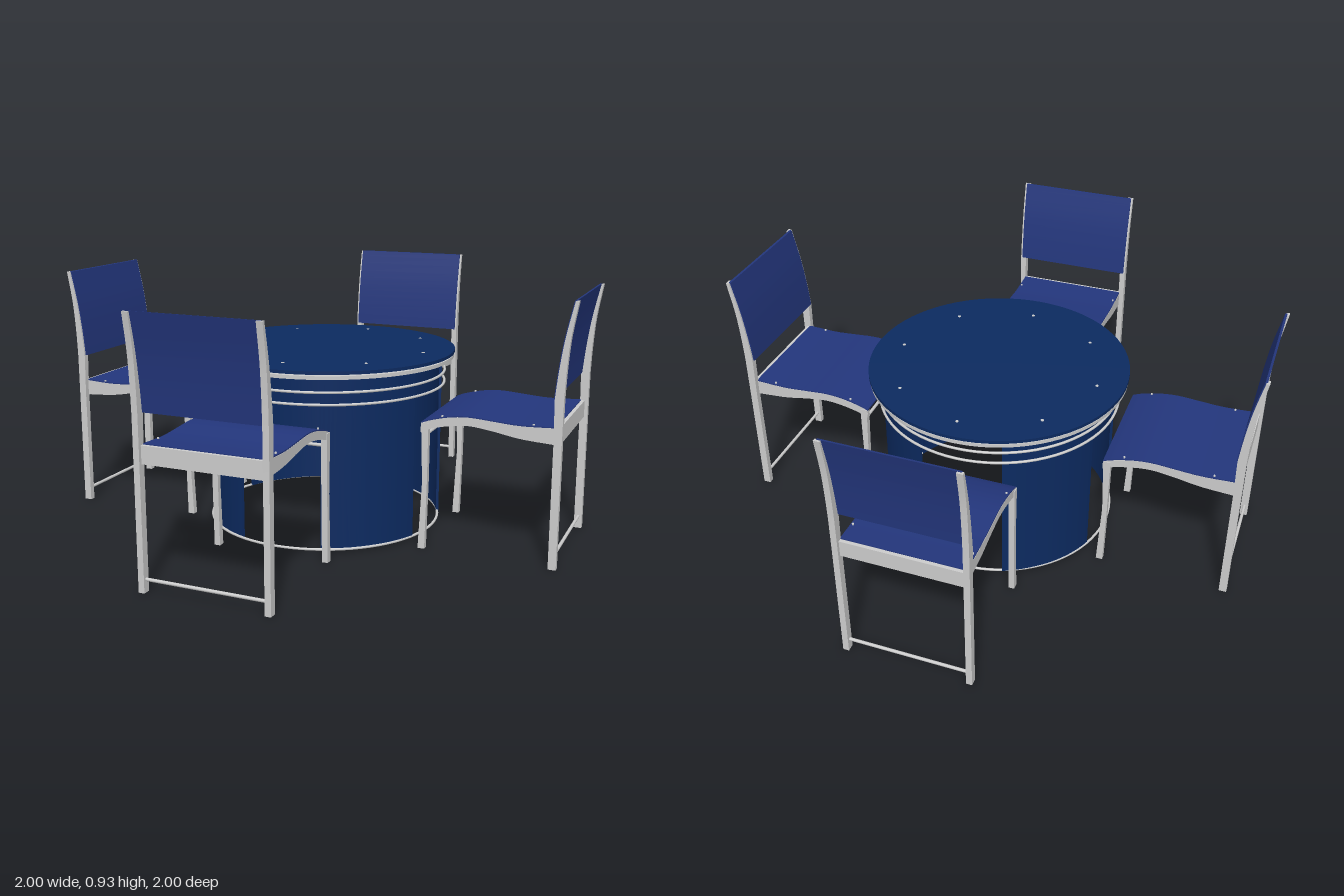
import * as THREE from 'three';
import { toCreasedNormals } from 'three/addons/utils/BufferGeometryUtils.js';

const metal = new THREE.MeshStandardMaterial({ color: 0xcccccc });
const tableBlue = new THREE.MeshStandardMaterial({ color: 0x0c2a60 });
const fabricBlue = new THREE.MeshStandardMaterial({ color: 0x23367c });

function add(parent, name, geometry, material, x = 0, y = 0, z = 0) {
  const mesh = new THREE.Mesh(geometry, material);
  mesh.name = name;
  mesh.position.set(x, y, z);
  parent.add(mesh);
  return mesh;
}

const spline = (pts, n = 20) =>
  new THREE.SplineCurve(pts.map(p => new THREE.Vector2(...p))).getPoints(n);

// Extrudes the strip between two (z, y) edges across x, centred on x = 0
function strip(edgeA, edgeB, width) {
  const shape = new THREE.Shape([...edgeA, ...[...edgeB].reverse()]);
  const g = new THREE.ExtrudeGeometry(shape, { depth: width, bevelEnabled: false });
  g.translate(0, 0, -width / 2);
  g.rotateY(-Math.PI / 2);
  return toCreasedNormals(g, 0.5);
}

// Horizontal extrusion of a flat shape, from y = 0 up to the given height
function slab(shape, height) {
  const g = new THREE.ExtrudeGeometry(shape, { depth: height, bevelEnabled: false, curveSegments: 48 });
  g.rotateX(-Math.PI / 2);
  return toCreasedNormals(g, 0.5);
}

const shifted = (pts, dz, dy) => pts.map(p => new THREE.Vector2(p.x + dz, p.y + dy));

// Chair whose back is at +z
function createChair() {
  const chair = new THREE.Group();
  chair.name = 'chair';

  const seatTop = spline([[0.465, 0.468], [0.5, 0.482], [0.57, 0.499], [0.64, 0.505], [0.72, 0.5], [0.82, 0.494], [0.94, 0.499]]);
  const railBottom = spline([[0.465, 0.435], [0.5, 0.451], [0.57, 0.468], [0.64, 0.475], [0.72, 0.466], [0.82, 0.449], [0.94, 0.441]]);
  const postFront = spline([[0.934, 0.6], [0.944, 0.7], [0.96, 0.81], [0.986, 0.93]], 12);
  const postRear = spline([[0.965, 0.6], [0.969, 0.7], [0.978, 0.81], [0.998, 0.93]], 12);
  const corner = (z, y) => new THREE.Vector2(z, y);

  // Side frames, mirrored left and right
  for (const s of [-1, 1]) {
    const rail = add(chair, 'sideRail', strip(railBottom, seatTop, 0.016), metal, s * 0.213);
    rail.position.y = -0.003;
    add(chair, 'frontLeg', strip(
      [corner(0.463, 0), corner(0.475, 0.25), corner(0.467, 0.468)],
      [corner(0.488, 0), corner(0.493, 0.25), corner(0.494, 0.468)], 0.022), metal, s * 0.213);
    add(chair, 'rearPost', strip(
      [corner(0.938, 0), corner(0.937, 0.45), ...postFront],
      [corner(0.966, 0), corner(0.965, 0.45), ...postRear], 0.022), metal, s * 0.229);
    for (const [z, y] of [[0.54, 0.496], [0.862, 0.498]])
      add(chair, 'seatScrew', new THREE.CylinderGeometry(0.004, 0.004, 0.006, 8), metal, s * 0.211, y, z);
  }

  // Fabric seat and backrest
  add(chair, 'seat', strip(shifted(seatTop, 0, -0.005), shifted(seatTop, 0, 0.001), 0.44), fabricBlue);
  add(chair, 'backrest', strip(shifted(postFront, -0.004, 0), shifted(postFront, 0.004, 0.001), 0.466), fabricBlue);

  // Cross members
  add(chair, 'rearRail', new THREE.BoxGeometry(0.44, 0.062, 0.014), metal, 0, 0.466, 0.946);
  for (const [name, y, z] of [['frontBar', 0.422, 0.48], ['rearBar', 0.045, 0.952]]) {
    const bar = add(chair, name, new THREE.CylinderGeometry(0.006, 0.006, 0.44, 10), metal, 0, y, z);
    bar.rotation.z = Math.PI / 2;
  }
  return chair;
}

function createTable() {
  const table = new THREE.Group();
  table.name = 'table';
  const topZ = -0.025;

  // Top disc over a flat metal ring
  add(table, 'tableTop', new THREE.CylinderGeometry(0.487, 0.487, 0.012, 72), tableBlue, 0, 0.66, topZ);
  const ringShape = new THREE.Shape().absarc(0, 0, 0.484, 0, Math.PI * 2);
  ringShape.holes.push(new THREE.Path().absarc(0, 0, 0.34, 0, Math.PI * 2, true));
  add(table, 'topSupportRing', slab(ringShape, 0.013), metal, 0, 0.636, topZ);

  // Screws around the top
  for (let i = 0; i < 8; i++) {
    const a = i * Math.PI / 4 + 0.03;
    add(table, 'topScrew', new THREE.CylinderGeometry(0.006, 0.006, 0.022, 10), metal,
      0.386 * Math.cos(a), 0.657, topZ - 0.015 + 0.386 * Math.sin(a));
  }

  // Thin hoops below the top and at the floor
  for (const [name, y, r, z] of [['upperHoop', 0.585, 0.452, -0.02], ['lowerHoop', 0.541, 0.452, -0.02], ['floorHoop', 0.011, 0.441, -0.005]]) {
    const hoop = add(table, name, new THREE.TorusGeometry(r, 0.005, 8, 80), metal, 0, y, z);
    hoop.rotation.x = Math.PI / 2;
  }

  // Four curved upright panels
  const half = 0.425;
  const panel = new THREE.Shape();
  panel.absarc(0, 0, 0.442, -half, half, false);
  panel.absarc(0, 0, 0.432, half, -half, true);
  const panelGeometry = slab(panel, 0.626);
  for (let i = 0; i < 4; i++) {
    const mesh = add(table, 'curvedPanel', panelGeometry, tableBlue, 0.003, 0.01, -0.01);
    mesh.rotation.y = Math.PI / 4 + i * Math.PI / 2;
  }
  return table;
}

export function createModel() {
  const model = new THREE.Group();
  model.name = 'diningSet';
  model.add(createTable());
  // Four chairs around the table
  for (let i = 0; i < 4; i++) {
    const chair = createChair();
    chair.rotation.y = i * Math.PI / 2;
    model.add(chair);
  }
  return model;
}
